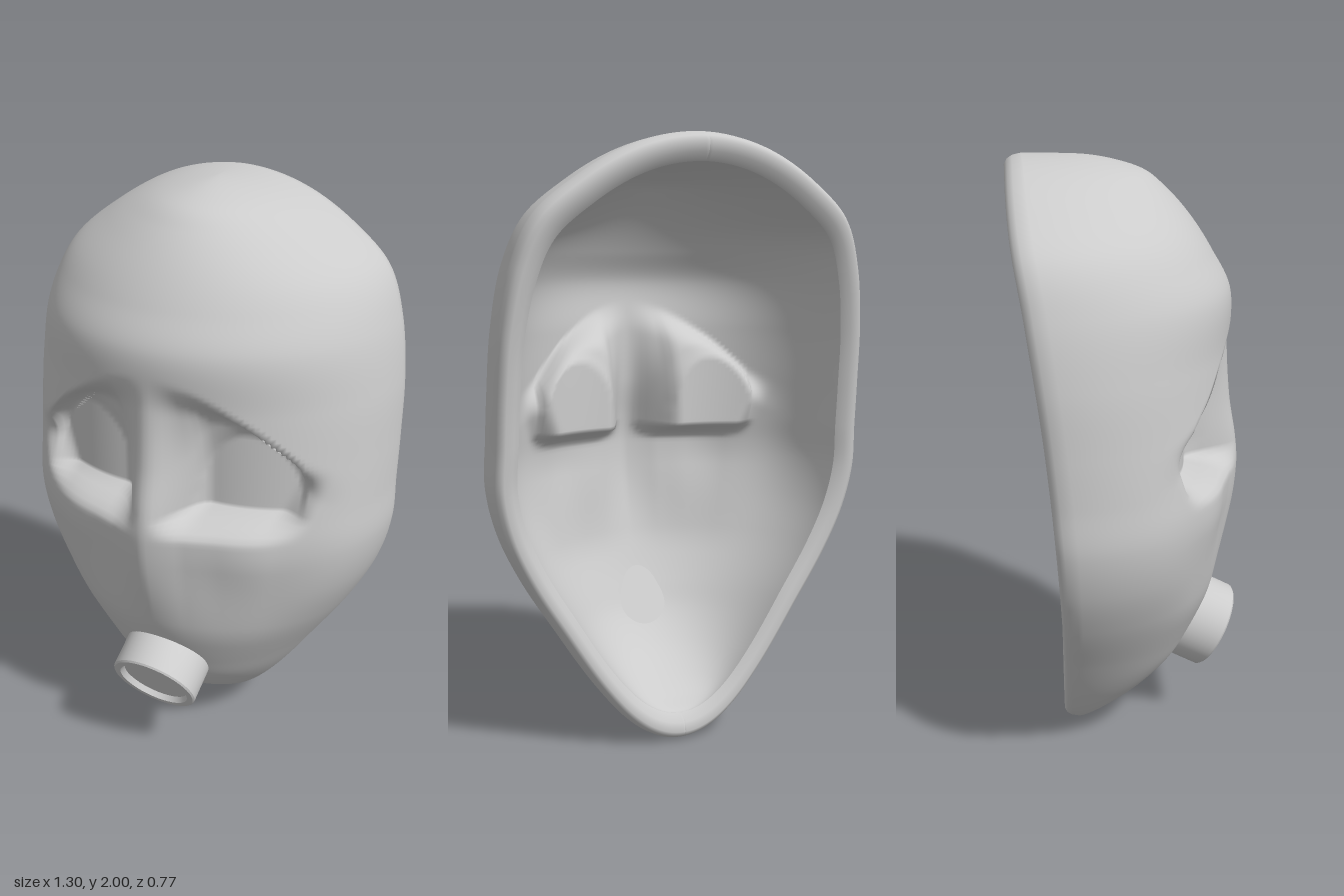
import * as THREE from 'three';
import { toCreasedNormals } from 'three/addons/utils/BufferGeometryUtils.js';

const material = () => new THREE.MeshStandardMaterial({ color: 0xcccccc });
const clamp = (v) => Math.min(1, Math.max(0, v));
const smooth = (v) => { const t = clamp(v); return t * t * (3 - 2 * t); };
const bell = (v, c, r) => Math.exp(-(((v - c) / r) ** 2));

// rows run from chin to crown, packed closer at both ends
const toS = (y) => Math.acos(1 - y) / Math.PI;

// smooth curve through [height, value] pairs
function profile(keys) {
  const p = keys.map(([y, v]) => [toS(y), v]);
  const last = p.length - 1;
  const slope = p.map((_, i) => {
    const a = p[Math.max(0, i - 1)], b = p[Math.min(last, i + 1)];
    return (b[1] - a[1]) / (b[0] - a[0]);
  });
  return (s) => {
    let i = 0;
    while (i < last - 1 && s > p[i + 1][0]) i++;
    const h = p[i + 1][0] - p[i][0], t = clamp((s - p[i][0]) / h);
    const t2 = t * t, t3 = t2 * t;
    return (2 * t3 - 3 * t2 + 1) * p[i][1] + (t3 - 2 * t2 + t) * h * slope[i]
      + (3 * t2 - 2 * t3) * p[i + 1][1] + (t3 - t2) * h * slope[i + 1];
  };
}

const halfWidth = profile([[0, 0], [0.02, 0.09], [0.1, 0.2], [0.2, 0.285], [0.4, 0.42],
  [0.6, 0.545], [0.75, 0.615], [0.9, 0.65], [1.05, 0.648], [1.2, 0.645], [1.4, 0.635],
  [1.6, 0.6], [1.75, 0.535], [1.86, 0.405], [1.96, 0.22], [2, 0]]);
const frontZ = profile([[0, -0.19], [0.04, -0.12], [0.1, -0.03], [0.2, 0.095], [0.3, 0.18],
  [0.4, 0.23], [0.5, 0.272], [0.6, 0.308], [0.8, 0.36], [0.95, 0.377], [1.05, 0.37],
  [1.2, 0.345], [1.4, 0.33], [1.58, 0.33], [1.7, 0.27], [1.8, 0.205], [1.9, 0.115],
  [1.95, 0.05], [1.98, -0.04], [2, -0.2]]);
const rimZ = profile([[0, -0.235], [0.4, -0.237], [0.8, -0.25], [1.2, -0.28],
  [1.6, -0.33], [1.85, -0.372], [2, -0.39]]);
const browCurve = new THREE.SplineCurve([[0, 1.52], [0.15, 1.48], [0.3, 1.38], [0.45, 1.25], [0.6, 1.18]]
  .map(([x, y]) => new THREE.Vector2(x, y)));
const browY = (x) => browCurve.getPoint(clamp(x / 0.6)).y;

// how far a point lies inside the eye socket, 0 to 1
function socket(x, y, brow) {
  const lid = 1.03 + 0.27 * Math.sqrt(Math.max(0, 1 - ((x - 0.285) / 0.17) ** 2));
  const t = clamp((brow - y) / Math.max(0.03, brow - lid));
  const under = 0.6 * smooth(1.6 * t) + 0.4 * t * t;
  const floor = clamp((y - 0.96) / 0.07) ** 2;
  const outer = 1 - smooth((x - 0.36 - 0.35 * (y - 1)) / 0.13);
  return under * floor * outer * smooth((x - 0.02) / 0.14);
}

const RIM_DEPTH = 0.05;
const angle = (j) => (j / COLS - 0.5) * Math.PI;

// one point of the outer face: row s, sideways angle a
function facePoint(s, a) {
  const y = 1 - Math.cos(Math.PI * s), back = rimZ(s) + RIM_DEPTH;
  const w = halfWidth(s), x = w * Math.sin(a), ax = Math.abs(x);
  const brow = browY(ax);
  let z = back + (frontZ(s) - back) * Math.cos(a);
  // surface falls away either side of the nose ridge, below the brow
  const fall = 0.02 * clamp(ax / 0.12) + 0.025 * smooth(ax / 0.24);
  z -= fall * smooth((y - 0.5) / 0.35) * (1 - smooth((y - brow + 0.13) / 0.13))
    * (1 - smooth((ax / Math.max(w, 0.01) - 0.6) / 0.35));
  // cheeks
  z += 0.015 * bell(ax, 0.36, 0.13) * bell(y, 0.88, 0.15);
  // recessed eye surface
  const eye = Math.min(z, 0.17 - 1.05 * Math.max(0, ax - 0.15) ** 2);
  z += (eye - z) * socket(ax, y, brow);
  return [x, y, z];
}

const shrink = ([x, y, z], k) => [x * (1 - 0.12 * k), 1 + (y - 1) * (1 - 0.09 * k), z];

// rounded rim as [inward share, distance ahead of the back edge]
const RIM = [[0.06, 0.025], [0.17, 0.009], [0.35, 0], [0.7, 0.006], [1, 0.03]];
const ROWS = 210, COLS = 120;

function outerRow(s) {
  const arc = [];
  for (let j = 0; j <= COLS; j++) arc.push(facePoint(s, angle(j)));
  const rim = (p) => RIM.map(([k, dz]) => shrink([p[0], p[1], rimZ(s) + dz], k));
  return [...rim(arc[0]).reverse(), ...arc, ...rim(arc[COLS])];
}

// lining, thickest behind the middle of the face
function innerRow(s) {
  const row = [];
  for (let j = COLS; j >= 0; j--) {
    const [x, y, z] = facePoint(s, angle(j));
    const thickness = 0.02 + 0.065 * Math.cos(angle(j)) * Math.sin(Math.PI * s);
    row.push(shrink([x, y, z - thickness], 1));
  }
  return row;
}

function loft(name, makeRow) {
  const pos = [], index = [];
  for (let i = 0; i <= ROWS; i++) {
    const row = makeRow(i / ROWS), n = row.length;
    pos.push(...row.flat());
    if (i === ROWS) break;
    for (let j = 0; j < n - 1; j++) {
      const a = i * n + j, c = a + n;
      index.push(a, a + 1, c + 1, a, c + 1, c);
    }
  }
  const g = new THREE.BufferGeometry();
  g.setAttribute('position', new THREE.Float32BufferAttribute(pos, 3));
  g.setIndex(index);
  g.computeVertexNormals();
  const mesh = new THREE.Mesh(g, material());
  mesh.name = name;
  return mesh;
}

// short tilted mouthpiece with a shallow recessed front
function mouthpiece() {
  const length = 0.2, tilt = 2.06;
  const pts = [[0, 0], [0.125, 0], [0.155, 0.07], [0.155, length - 0.006], [0.15, length],
    [0.128, length], [0.12, length - 0.02], [0, length - 0.02]].map(([r, h]) => new THREE.Vector2(r, h));
  const mesh = new THREE.Mesh(toCreasedNormals(new THREE.LatheGeometry(pts, 40), 0.5), material());
  mesh.name = 'mouthpiece';
  mesh.rotation.x = tilt;
  mesh.position.set(0, 0.325 - length * Math.cos(tilt), 0.31 - length * Math.sin(tilt));
  return mesh;
}

export function createModel() {
  const group = new THREE.Group();
  group.name = 'mask';
  group.add(loft('maskFace', outerRow), loft('maskLining', innerRow), mouthpiece());
  return group;
}
